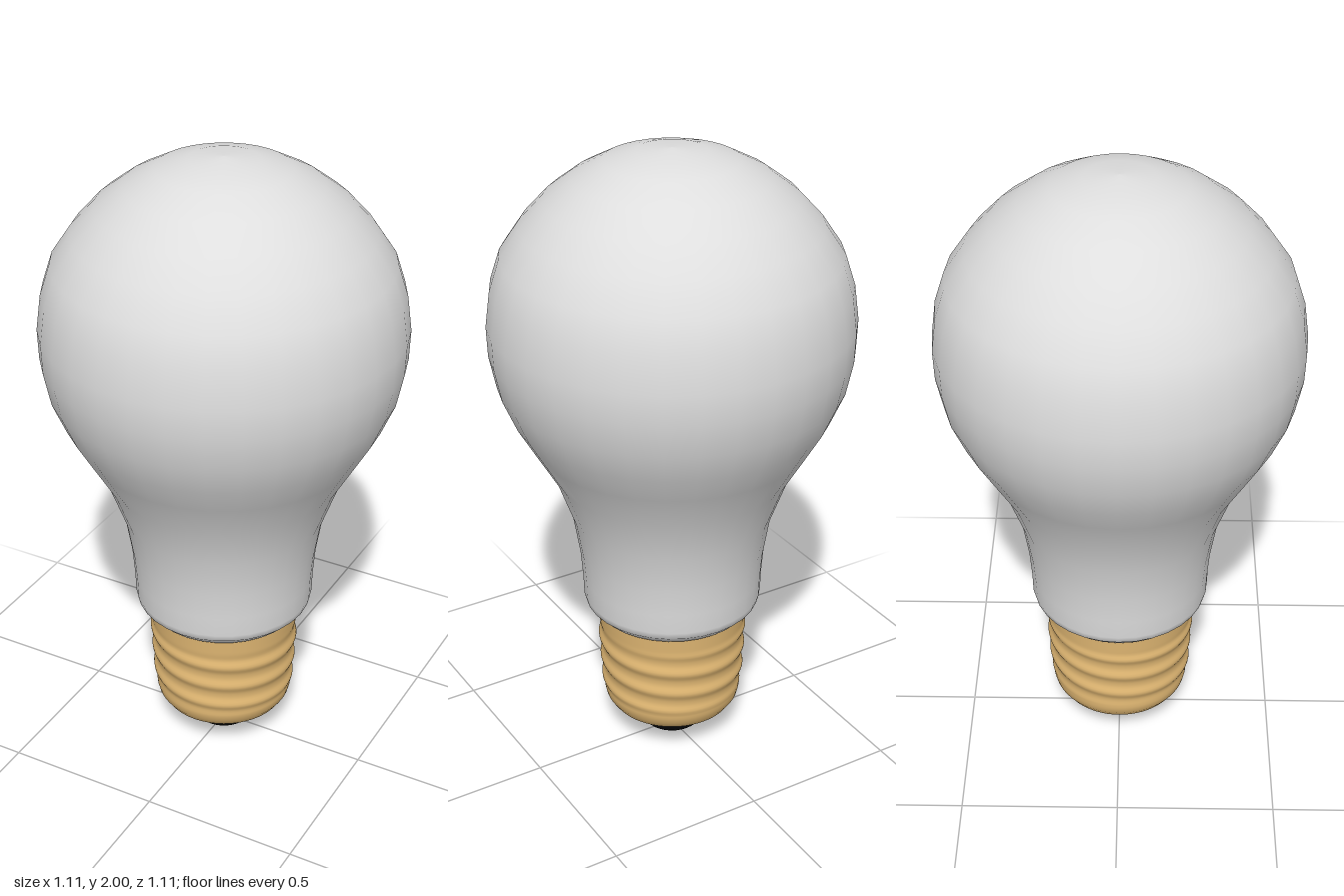
import * as THREE from 'three';
import { mergeVertices } from 'three/addons/utils/BufferGeometryUtils.js';

const SEGMENTS = 32;

// Each colour gets one named material
function material(name, color) {
  const m = new THREE.MeshStandardMaterial({ color });
  m.name = name;
  return m;
}

// Profiles are [radius, height], listed from bottom to top
function lathe(profile, segments = SEGMENTS) {
  return new THREE.LatheGeometry(profile.map(([r, y]) => new THREE.Vector2(r, y)), segments);
}

// Metal shell with a shallow helical ridge rolled into its side
function createScrewShell() {
  const profile = [[0.11, 0.083], [0.14, 0.09], [0.175, 0.103], [0.2, 0.12], [0.217, 0.145]];
  const bottom = 0.165, top = 0.48, rows = 40;
  for (let i = 0; i <= rows; i++) {
    const t = i / rows;
    profile.push([0.222 + 0.016 * t, bottom + (top - bottom) * t]);
  }
  const geometry = lathe(profile, 64);
  geometry.deleteAttribute('normal');
  geometry.deleteAttribute('uv');
  const shell = mergeVertices(geometry, 1e-5);

  const p = shell.attributes.position, pitch = 0.078, ridgeHeight = 0.30;
  for (let i = 0; i < p.count; i++) {
    const x = p.getX(i), y = p.getY(i), z = p.getZ(i);
    const phase = 2 * Math.PI * (y - ridgeHeight) / pitch + Math.atan2(x, z);
    const fade = THREE.MathUtils.smoothstep(y, 0.17, 0.21) * (1 - THREE.MathUtils.smoothstep(y, 0.39, 0.43));
    const ridge = Math.pow(0.5 + 0.5 * Math.cos(phase), 1.5);
    const scale = 1 + fade * (0.010 * ridge - 0.003) / Math.hypot(x, z);
    p.setXYZ(i, x * scale, y, z * scale);
  }
  shell.computeVertexNormals();
  return shell;
}

export function createModel() {
  const frosted = material('frosted glass', 0xdedede);
  const brass = material('brass', 0xdfb672);
  const black = material('black insulator', 0x0b0b0d);
  const group = new THREE.Group();
  group.name = 'lightBulb';

  const add = (name, geometry, mat) => {
    const mesh = new THREE.Mesh(geometry, mat);
    mesh.name = name;
    group.add(mesh);
  };

  // Pear-shaped glass, tucked in where it meets the metal
  add('glassBulb', lathe([
    [0.232, 0.476], [0.25, 0.484], [0.262, 0.498], [0.278, 0.512], [0.284, 0.535],
    [0.286, 0.6], [0.293, 0.69], [0.314, 0.82], [0.368, 0.97], [0.437, 1.09],
    [0.488, 1.18], [0.53, 1.28], [0.551, 1.385], [0.554, 1.48], [0.539, 1.59],
    [0.508, 1.685], [0.447, 1.775], [0.375, 1.853], [0.292, 1.916], [0.2, 1.965],
    [0.105, 1.991], [0, 2],
  ]), frosted);

  add('screwShell', createScrewShell(), brass);

  // Tapered insulator under the shell
  add('insulatorSide', lathe([[0.092, 0.024], [0.102, 0.034], [0.125, 0.075], [0.127, 0.087]]), black);
  add('insulatorBottom', lathe([[0, 0.016], [0.06, 0.016], [0.092, 0.024]]), black);

  // Rounded solder contact
  add('contact', lathe([[0, 0], [0.025, 0.002], [0.043, 0.008], [0.052, 0.02]]), brass);

  return group;
}
